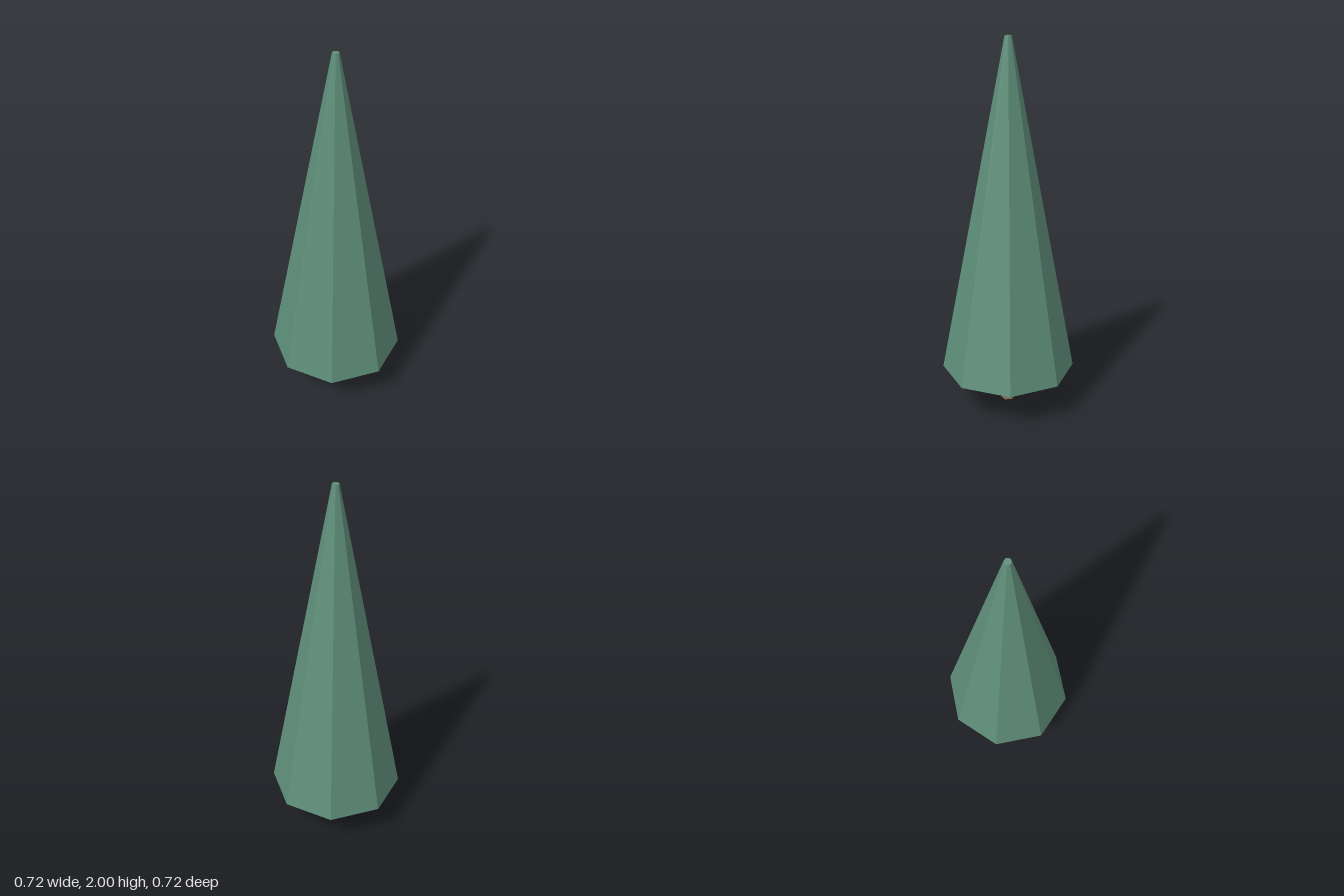
import * as THREE from 'three';

// Tapered, faceted solid standing between two heights
function taper(name, rTop, rBottom, y0, y1, sides, color) {
  const geometry = new THREE.CylinderGeometry(rTop, rBottom, y1 - y0, sides);
  const material = new THREE.MeshStandardMaterial({ color, flatShading: true });
  const mesh = new THREE.Mesh(geometry, material);
  mesh.name = name;
  mesh.position.y = (y0 + y1) / 2;
  return mesh;
}

export function createModel() {
  const tree = new THREE.Group();
  tree.name = 'coniferTree';
  // Slim six-sided trunk
  tree.add(taper('trunk', 0.028, 0.036, 0, 0.2, 6, 0x8f715c));
  // Eight-sided foliage with a small flat tip
  tree.add(taper('foliage', 0.018, 0.358, 0.2, 2, 8, 0x5f8f7a));
  return tree;
}
